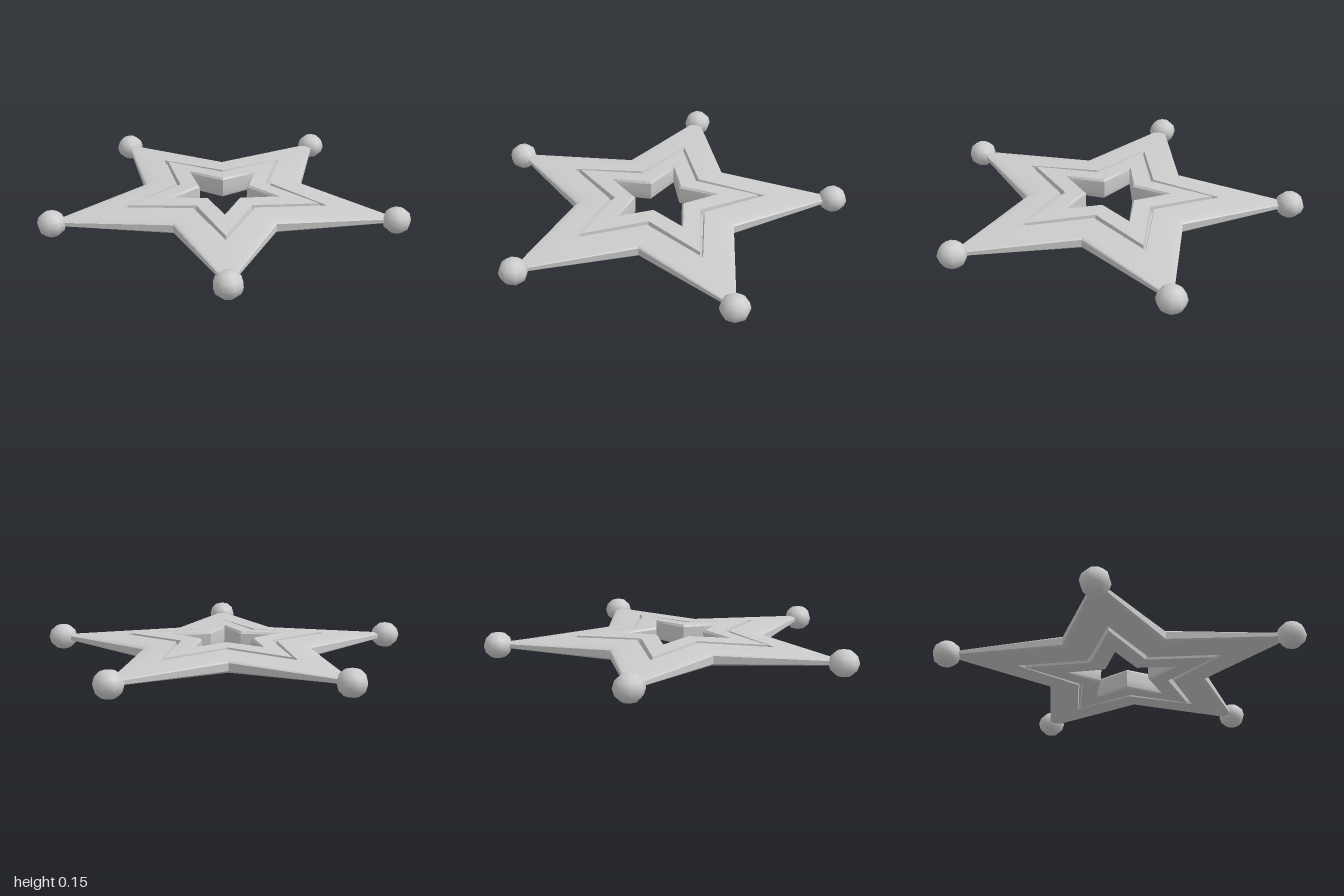
import * as THREE from 'three';
import { toCreasedNormals } from 'three/addons/utils/BufferGeometryUtils.js';

const MID = 0.0725;      // height of the symmetry plane
const CENTRE_Z = -0.098; // centre of the five-pointed layout
const material = new THREE.MeshStandardMaterial({ color: 0xcccccc });

// Half thickness falls off towards the points
const cone = r => 0.064 - 0.048 * r;

// One star-shaped ring: radii at points and notches, half heights at both
const ring = (tip, notch, tipH, notchH) => ({ tip, notch, tipH, notchH });

function starRings() {
  const top = [];
  // Rounded outer frame: [inward fraction, fraction of full height]
  for (const [s, f] of [[0, 0], [0, 0.5], [0.04, 0.68], [0.14, 0.82], [0.32, 0.92], [0.6, 0.99], [1, 1]]) {
    const tip = THREE.MathUtils.lerp(0.99, 0.588, s);
    const notch = THREE.MathUtils.lerp(0.467, 0.285, s);
    top.push(ring(tip, notch, cone(tip) * f, cone(notch) * f));
  }
  // Groove
  top.push(ring(0.575, 0.278, 0.012, 0.02), ring(0.555, 0.262, 0.012, 0.02));
  // Inner star band and the wall of the opening
  top.push(ring(0.548, 0.255, 0.042, 0.053));
  top.push(ring(0.325, 0.152, 0.055, 0.059));
  top.push(ring(0.313, 0.14, 0.045, 0.048), ring(0.313, 0.14, 0, 0));
  // Mirror to the underside
  const under = top.slice(1, -1).reverse().map(p => ring(p.tip, p.notch, -p.tipH, -p.notchH));
  return [...top, ...under];
}

function starGeometry() {
  const rings = starRings();
  const point = (p, i) => {
    const a = i * Math.PI / 5, isTip = i % 2 === 0;
    const r = isTip ? p.tip : p.notch;
    return [r * Math.sin(a), isTip ? p.tipH : p.notchH, r * Math.cos(a)];
  };
  const pos = [];
  rings.forEach((p, k) => {
    const q = rings[(k + 1) % rings.length];
    for (let i = 0; i < 10; i++) {
      const a = point(p, i), b = point(p, i + 1), c = point(q, i + 1), d = point(q, i);
      // Alternate the diagonal so each arm is symmetric
      if (i % 2) pos.push(...a, ...b, ...c, ...a, ...c, ...d);
      else pos.push(...a, ...b, ...d, ...b, ...c, ...d);
    }
  });
  const geo = new THREE.BufferGeometry();
  geo.setAttribute('position', new THREE.Float32BufferAttribute(pos, 3));
  return toCreasedNormals(geo, 0.6);
}

export function createModel() {
  const model = new THREE.Group();
  model.name = 'starBadge';

  const star = new THREE.Mesh(starGeometry(), material);
  star.name = 'starFrame';
  star.position.set(0, MID, CENTRE_Z);
  model.add(star);

  // Faceted balls on the five points
  const ballGeo = new THREE.SphereGeometry(0.079, 8, 6);
  ballGeo.rotateY(Math.PI / 8);
  ballGeo.scale(1, MID / 0.079, 1);
  for (let i = 0; i < 5; i++) {
    const a = i * Math.PI * 2 / 5;
    const ball = new THREE.Mesh(ballGeo, material);
    ball.name = 'pointBall' + (i + 1);
    ball.position.set(0.973 * Math.sin(a), MID, CENTRE_Z + 0.973 * Math.cos(a));
    ball.rotation.y = a;
    model.add(ball);
  }
  return model;
}
